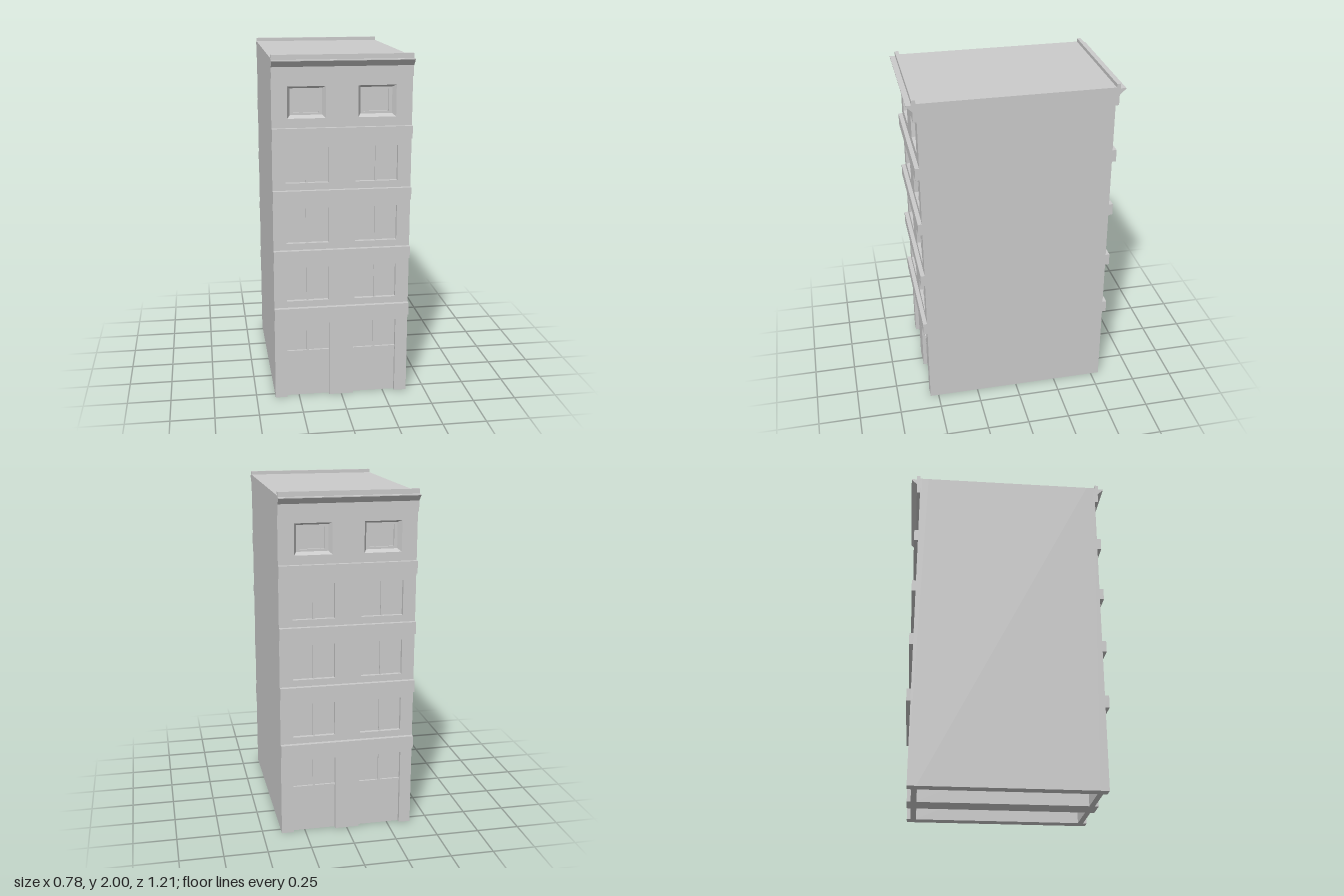
import * as THREE from 'three';

const W = 0.78, HALF = 0.39, ROOF = 1.98;
const CORE_Z = 0.5, FACE_Z = 0.55, PANE_Z = 0.527;
const BAYS = [-0.197, 0.194];
const DOOR = { half: 0.125, top: 0.455, rail: 0.28 };
const WINDOW_ROWS = [[0.598, 0.798], [0.943, 1.146], [1.292, 1.493]];
const BANDS = [[0.487, 0.56], [0.835, 0.905], [1.182, 1.252], [1.53, 1.602]];
const ATTIC = { half: 0.106, low: 1.653, high: 1.828 };

export function createModel() {
  const material = new THREE.MeshStandardMaterial({ color: 0xcccccc, flatShading: true });
  const doubleSided = material.clone();
  doubleSided.side = THREE.DoubleSide;
  const model = new THREE.Group();
  model.name = 'building';

  const add = (parent, name, geometry, mat = material) => {
    const mesh = new THREE.Mesh(geometry, mat);
    mesh.name = name;
    parent.add(mesh);
    return mesh;
  };

  // Box given by its two extreme corners
  const block = (parent, name, x0, x1, y0, y1, z0, z1) => add(parent, name,
    new THREE.BoxGeometry(x1 - x0, y1 - y0, z1 - z0)
      .translate((x0 + x1) / 2, (y0 + y1) / 2, (z0 + z1) / 2));

  // Wall outline with a notch at the ground for each door bay
  const wallShape = (bays) => {
    const s = new THREE.Shape().moveTo(-HALF, 0);
    for (const x of bays) {
      s.lineTo(x - DOOR.half, 0).lineTo(x - DOOR.half, DOOR.top);
      s.lineTo(x + DOOR.half, DOOR.top).lineTo(x + DOOR.half, 0);
    }
    return s.lineTo(HALF, 0).lineTo(HALF, ROOF).lineTo(-HALF, ROOF).closePath();
  };

  const hole = (x, half, y0, y1) => new THREE.Path()
    .moveTo(x - half, y0).lineTo(x - half, y1)
    .lineTo(x + half, y1).lineTo(x + half, y0).closePath();

  const extrude = (shape, depth) =>
    new THREE.ExtrudeGeometry(shape, { depth, bevelEnabled: false });

  // Main body, hollow between opposite doors
  add(model, 'body', extrude(wallShape(BAYS), CORE_Z * 2).translate(0, 0, -CORE_Z));

  function buildFacade(name, bays) {
    const facade = new THREE.Group();
    facade.name = name;

    // Outer wall layer with window openings
    const wall = wallShape(bays);
    for (const x of bays) {
      for (const [y0, y1] of WINDOW_ROWS) wall.holes.push(hole(x, 0.12, y0, y1));
      wall.holes.push(hole(x, ATTIC.half, ATTIC.low, ATTIC.high));
    }
    add(facade, 'wall', extrude(wall, FACE_Z - CORE_Z).translate(0, 0, CORE_Z));

    for (const x of bays) {
      // Door with transom window
      block(facade, 'door', x - DOOR.half, x + DOOR.half, 0, DOOR.top, CORE_Z - 0.005, PANE_Z);
      block(facade, 'doorTransom', x - DOOR.half, x + DOOR.half,
        DOOR.rail - 0.006, DOOR.rail + 0.006, PANE_Z, PANE_Z + 0.012);
      block(facade, 'doorMullion', x - 0.006, x + 0.006, DOOR.rail, DOOR.top, PANE_Z, PANE_Z + 0.012);

      // Middle floor windows
      for (const [y0, y1] of WINDOW_ROWS) {
        block(facade, 'windowPane', x - 0.12, x + 0.12, y0, y1, CORE_Z, PANE_Z);
        block(facade, 'windowMullion', x - 0.006, x + 0.006, y0, y1, PANE_Z, PANE_Z + 0.012);
      }

      // Attic window: splayed reveal, flat frame and sunken pane
      const w = ATTIC.half * 2, h = ATTIC.high - ATTIC.low, y = (ATTIC.low + ATTIC.high) / 2;
      const depth = 0.035, frameZ = FACE_Z - depth;
      const reveal = new THREE.CylinderGeometry(Math.SQRT1_2, Math.SQRT1_2 * 0.84, depth, 4, 1, true)
        .rotateY(Math.PI / 4).rotateX(Math.PI / 2)
        .scale(w, h, 1).translate(x, y, FACE_Z - depth / 2);
      add(facade, 'atticReveal', reveal, doubleSided);
      const frame = new THREE.Shape()
        .moveTo(x - w / 2, y - h / 2).lineTo(x + w / 2, y - h / 2)
        .lineTo(x + w / 2, y + h / 2).lineTo(x - w / 2, y + h / 2).closePath();
      frame.holes.push(hole(x, 0.071, y - 0.061, y + 0.061));
      add(facade, 'atticFrame', extrude(frame, frameZ - CORE_Z - 0.001).translate(0, 0, CORE_Z + 0.001));
    }

    // Floor bands
    for (const [y0, y1] of BANDS) block(facade, 'floorBand', -HALF, HALF, y0, y1, FACE_Z - 0.01, 0.574);

    // Cornice: profile in (z, y) swept across the width
    const profile = [[0.54, 1.875], [0.57, 1.875], [0.57, 1.935], [0.605, 1.968],
      [0.605, 1.973], [0.574, 1.973], [0.574, 2], [0.552, 2], [0.552, 1.979], [0.54, 1.979]];
    const cornice = new THREE.Shape(profile.map(([z, y]) => new THREE.Vector2(-z, y)));
    add(facade, 'cornice', extrude(cornice, W).rotateY(Math.PI / 2).translate(-HALF, 0, 0));

    model.add(facade);
    return facade;
  }

  buildFacade('frontFacade', BAYS);
  // Mirrored bay positions so the rear openings line up with the body
  buildFacade('backFacade', BAYS.map((x) => -x).reverse()).rotation.y = Math.PI;

  return model;
}
